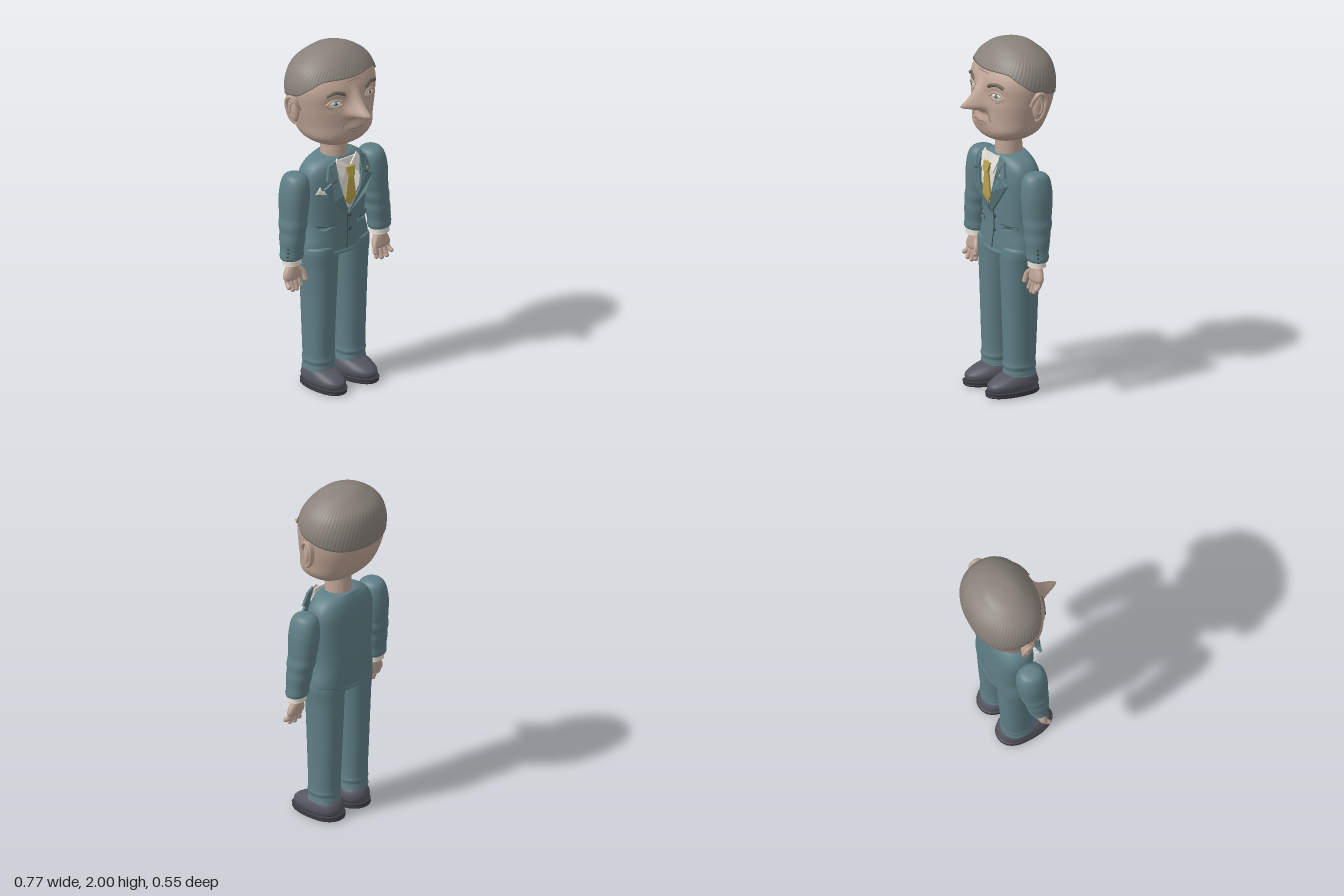
import * as THREE from 'three';

const mat = (color) => new THREE.MeshStandardMaterial({ color, side: THREE.DoubleSide });
const SUIT = mat(0x5f7f86), SKIN = mat(0xbfa596), HAIR = mat(0x89827a), SHOE = mat(0x555560), SOLE = mat(0x3a3a42),
  SHIRT = mat(0xe4e0d8), TIE = mat(0xb9a252), DARK = mat(0x3c4a4e), BROW = mat(0x6a6254), LINE = mat(0x8f7768), IRIS = mat(0x6d8a94);

// Cross-sections, top to bottom: [y, centre x, centre z, half width, front depth, back depth, squareness]
const HEAD = [
  [1.992, 0, -0.06, 0.001, 0.001, 0.001, 2], [1.982, 0, -0.06, 0.08, 0.065, 0.075, 2], [1.95, 0, -0.06, 0.155, 0.115, 0.125, 2],
  [1.89, 0, -0.06, 0.225, 0.165, 0.183, 2.1], [1.8, 0, -0.06, 0.258, 0.203, 0.203, 2.2], [1.7, 0, -0.06, 0.25, 0.203, 0.197, 2.3],
  [1.6, 0, -0.05, 0.228, 0.193, 0.178, 2.3], [1.52, 0, -0.03, 0.205, 0.17, 0.15, 2.4], [1.47, 0, -0.015, 0.145, 0.125, 0.11, 2.3],
  [1.45, 0, -0.015, 0.07, 0.07, 0.06, 2], [1.448, 0, -0.015, 0.001, 0.001, 0.001, 2]];
const TORSO = [
  [1.372, 0, -0.04, 0.001, 0.001, 0.001, 2], [1.366, 0, -0.045, 0.075, 0.07, 0.07, 2], [1.35, 0, -0.045, 0.14, 0.09, 0.085, 2.3],
  [1.31, 0, -0.045, 0.19, 0.103, 0.1, 2.6], [1.24, 0, -0.05, 0.212, 0.115, 0.108, 2.7], [1.1, 0, -0.05, 0.205, 0.118, 0.116, 2.6],
  [0.96, 0, -0.05, 0.197, 0.116, 0.118, 2.6], [0.86, 0, -0.045, 0.215, 0.116, 0.118, 2.6], [0.825, 0, -0.045, 0.205, 0.117, 0.117, 2.6],
  [0.795, 0, -0.045, 0.12, 0.115, 0.112, 2.8], [0.788, 0, -0.045, 0.001, 0.001, 0.001, 2]];

// Smoothly interpolated section at t in 0..1
function section(secs, t) {
  const n = secs.length - 1, f = Math.min(t, 1) * n, i = Math.min(Math.floor(f), n - 1), k = f - i;
  const at = (j) => secs[Math.max(0, Math.min(n, j))];
  return secs[0].map((_, c) => {
    const a = at(i - 1)[c], b = at(i)[c], d = at(i + 1)[c], e = at(i + 2)[c];
    const v = b + 0.5 * k * (d - a + k * (2 * a - 5 * b + 4 * d - e + k * (3 * (b - d) + e - a)));
    return c > 2 ? Math.max(v, 0.0005) : v;
  });
}

function ringPoint(secs, t, a) {
  const [y, cx, cz, rx, rf, rb, p] = section(secs, t), s = Math.sin(a), c = Math.cos(a);
  const pw = (v) => Math.sign(v) * Math.abs(v) ** (2 / p);
  return [cx + rx * pw(s), y, cz + (c > 0 ? rf : rb) * pw(c)];
}

// Closed surface from point(t, angle)
function surface(point, cols, rows) {
  const pos = [], idx = [];
  for (let j = 0; j <= rows; j++) for (let i = 0; i < cols; i++) {
    pos.push(...point(j / rows, (i / cols) * Math.PI * 2));
    if (j === rows) continue;
    const a = j * cols + i, b = j * cols + (i + 1) % cols;
    idx.push(a, a + cols, b + cols, a, b + cols, b);
  }
  const g = new THREE.BufferGeometry();
  g.setAttribute('position', new THREE.Float32BufferAttribute(pos, 3));
  g.setIndex(idx);
  g.computeVertexNormals();
  return g;
}

const loft = (secs, cols, rows) => surface((t, a) => ringPoint(secs, t, a), cols, rows);

// Front z of a lofted body at (x, y)
function frontZ(secs, x, y) {
  let lo = 0, hi = 1;
  for (let k = 0; k < 30; k++) { const m = (lo + hi) / 2; if (section(secs, m)[0] > y) lo = m; else hi = m; }
  const [, , cz, rx, rf, , p] = section(secs, lo);
  return cz + rf * Math.max(0, 1 - Math.abs(x / rx) ** p) ** (1 / p);
}

// How far the pointed nose, brow and lips stand out of the face
function relief(x, y) {
  const up = THREE.MathUtils.clamp((1.83 - y) / 0.16, 0, 1), low = THREE.MathUtils.smoothstep(y, 1.62, 1.665);
  const nose = 0.135 * up ** 1.7 * low * Math.exp(-((x / (0.02 + 0.022 * up)) ** 2));
  const lips = 0.012 * Math.exp(-((x / 0.06) ** 2) - ((y - 1.57) / 0.03) ** 2);
  const sockets = -0.012 * Math.exp(-(((Math.abs(x) - 0.12) / 0.05) ** 2) - ((y - 1.735) / 0.035) ** 2);
  return nose + lips + sockets;
}
const faceZ = (x, y) => frontZ(HEAD, x, y) + relief(x, y);
const torsoZ = (x, y) => frontZ(TORSO, x, y);
const chestZ = (x, y) => 0.112 - 0.9 * x * x - 1.2 * (y - 1.2) ** 2;

export function createModel() {
  const model = new THREE.Group();
  const add = (name, geo, m, x = 0, y = 0, z = 0) => {
    const mesh = new THREE.Mesh(geo, m);
    mesh.name = name;
    mesh.position.set(x, y, z);
    model.add(mesh);
    return mesh;
  };
  const ball = (name, m, p, sx, sy = sx, sz = sx) => {
    const b = add(name, new THREE.SphereGeometry(1, 18, 12), m, ...p);
    b.scale.set(sx, sy, sz);
    return b;
  };
  const tube = (name, m, pts, r) =>
    add(name, new THREE.TubeGeometry(new THREE.CatmullRomCurve3(pts.map((p) => new THREE.Vector3(...p))), 16, r, 8), m);
  // Line drawn over a surface z(x, y)
  const seam = (name, m, pts, r, zAt) => tube(name, m, pts.map(([x, y]) => [x, y, zAt(x, y)]), r);
  // Thin cloth piece bent to follow z(x, y)
  const cloth = (name, m, pts, zAt, offset, depth = 0.008) => {
    const g = new THREE.ExtrudeGeometry(new THREE.Shape(pts.map((p) => new THREE.Vector2(...p))), { depth, bevelEnabled: false });
    const p = g.attributes.position;
    for (let i = 0; i < p.count; i++) p.setZ(i, p.getZ(i) + zAt(p.getX(i), p.getY(i)) + offset);
    g.computeVertexNormals();
    return add(name, g, m);
  };

  // Head with nose
  add('head', surface((t, a) => {
    const [x, y, z] = ringPoint(HEAD, t, a);
    return [x, y, Math.cos(a) > 0 ? z + relief(x, y) : z];
  }, 112, 90), SKIN);

  // Hair cap with swirling combed grooves, folded in at the hairline
  const hairline = new THREE.SplineCurve([[0, 3.42], [0.7, 3.4], [1.1, 3.85], [1.5, 4.4], [2.2, 4.8], [3.1416, 5.05]].map((p) => new THREE.Vector2(...p)));
  const hairEnd = (a) => {
    const b = a > Math.PI ? 2 * Math.PI - a : a;
    let lo = 0, hi = 1;
    for (let k = 0; k < 20; k++) { const m = (lo + hi) / 2; if (hairline.getPoint(m).x < b) lo = m; else hi = m; }
    return hairline.getPoint(lo).y / 10;
  };
  add('hair', surface((t, a) => {
    const u = Math.min(t / 0.96, 1), [x, y, z] = ringPoint(HEAD, u * hairEnd(a), a);
    const groove = 0.016 * Math.min(1, u * 2) * (1 - Math.abs(Math.sin(32 * (a + 0.5 * u)))) ** 3;
    const s = t > 0.97 ? 0.97 : 1.035 - groove;
    return [x * s, y + 0.008, -0.06 + (z + 0.06) * s];
  }, 384, 32), HAIR);

  add('neck', new THREE.CylinderGeometry(0.072, 0.076, 0.16, 40), SKIN, 0, 1.41, -0.035);
  add('jacket', loft(TORSO, 56, 60), SUIT);

  // Mouth, brow crease
  seam('mouthLine', LINE, [[-0.06, 1.565], [-0.025, 1.572], [0, 1.568], [0.025, 1.572], [0.06, 1.565]], 0.004, faceZ);
  seam('lowerLip', LINE, [[-0.035, 1.553], [0, 1.549], [0.035, 1.553]], 0.003, faceZ);
  seam('browCrease', LINE, [[-0.05, 1.845], [0, 1.848], [0.05, 1.845]], 0.002, faceZ);

  // Shirt front, tie and jacket opening
  cloth('shirtFront', SHIRT, [[-0.085, 1.355], [0.085, 1.355], [0.08, 1.2], [0.01, 1.06], [-0.01, 1.06], [-0.08, 1.2]], chestZ, -0.02);
  cloth('tie', TIE, [[-0.018, 1.27], [0.018, 1.27], [0.038, 1.13], [0, 1.085], [-0.038, 1.13]], chestZ, -0.006, 0.01);
  cloth('tieKnot', TIE, [[-0.032, 1.32], [0.032, 1.32], [0.018, 1.265], [-0.018, 1.265]], chestZ, -0.004, 0.016);
  seam('jacketOpening', DARK, [[0.008, 1.05], [0.012, 0.95], [0.005, 0.87], [0, 0.82]], 0.003, torsoZ);
  for (const y of [1.01, 0.93]) ball('jacketButton', DARK, [0.024, y, torsoZ(0.02, y) + 0.004], 0.011, 0.011, 0.007);
  cloth('pocketSquare', SHIRT, [[-0.19, 1.18], [-0.14, 1.175], [-0.145, 1.2], [-0.16, 1.195], [-0.172, 1.225], [-0.18, 1.2]], torsoZ, 0.012);
  cloth('breastPocket', SUIT, [[-0.19, 1.165], [-0.135, 1.16], [-0.135, 1.178], [-0.19, 1.183]], torsoZ, 0.014);
  ball('lapelPin', TIE, [0.125, 1.275, chestZ(0.125, 1.275) + 0.01], 0.008, 0.008, 0.005);

  for (const s of [1, -1]) {
    const mir = (pts) => pts.map(([x, ...r]) => [x * s, ...r]);
    const side = s > 0 ? 'left' : 'right';
    const limb = (part, secs, m, cols, rows) => add(side + part, loft(secs.map(([y, x, ...r]) => [y, x * s, ...r]), cols, rows), m);

    // Eye, lids, brow and cheek fold
    const ez = faceZ(0.122, 1.735);
    const eye = ball(side + 'Eye', SHIRT, [0.122 * s, 1.735, ez - 0.002], 0.04, 0.015, 0.012);
    eye.rotation.y = 0.4 * s;
    ball(side + 'Iris', IRIS, [0.12 * s, 1.735, ez + 0.007], 0.013, 0.013, 0.006);
    ball(side + 'Pupil', DARK, [0.12 * s, 1.735, ez + 0.011], 0.006, 0.006, 0.004);
    seam(side + 'UpperLid', SKIN, mir([[0.075, 1.732], [0.1, 1.752], [0.14, 1.752], [0.172, 1.73]]), 0.008, faceZ);
    seam(side + 'LowerLid', SKIN, mir([[0.075, 1.73], [0.1, 1.717], [0.14, 1.715], [0.172, 1.73]]), 0.006, faceZ);
    seam(side + 'EyeBag', LINE, mir([[0.085, 1.71], [0.12, 1.698], [0.165, 1.71]]), 0.002, faceZ);
    seam(side + 'Eyebrow', BROW, mir([[0.07, 1.782], [0.1, 1.796], [0.135, 1.8], [0.172, 1.785]]), 0.01, faceZ);
    seam(side + 'CheekFold', LINE, mir([[0.055, 1.635], [0.075, 1.61], [0.085, 1.575]]), 0.003, faceZ);

    // Ear with rim and inner fold
    ball(side + 'Ear', SKIN, [0.262 * s, 1.685, -0.058], 0.024, 0.08, 0.034);
    tube(side + 'EarRim', SKIN, mir([[0.255, 1.69, -0.02], [0.282, 1.745, -0.03], [0.29, 1.768, -0.06], [0.292, 1.735, -0.092],
      [0.286, 1.68, -0.09], [0.274, 1.625, -0.07], [0.262, 1.605, -0.045]]), 0.011);
    tube(side + 'EarFold', SKIN, mir([[0.28, 1.735, -0.058], [0.288, 1.7, -0.07], [0.282, 1.655, -0.062], [0.272, 1.65, -0.04]]), 0.008);

    // Shirt collar and notched lapel
    cloth(side + 'Collar', SHIRT, mir([[0.008, 1.325], [0.07, 1.375], [0.085, 1.35], [0.06, 1.27]]), chestZ, -0.004);
    cloth(side + 'Lapel', SUIT, mir([[0.085, 1.365], [0.13, 1.345], [0.155, 1.265], [0.128, 1.25], [0.172, 1.22], [0.11, 1.13],
      [0.008, 1.03], [0.01, 1.065], [0.06, 1.17], [0.085, 1.27]]), chestZ, -0.008, 0.014);
    seam(side + 'LapelNotch', DARK, mir([[0.09, 1.262], [0.11, 1.256], [0.13, 1.25]]), 0.003, (x, y) => chestZ(x, y) + 0.006);
    cloth(side + 'PocketFlap', SUIT, mir([[0.085, 0.955], [0.135, 0.952], [0.18, 0.958], [0.18, 0.978], [0.135, 0.974], [0.085, 0.976]]), torsoZ, 0.002, 0.008);
    seam(side + 'PocketSeam', DARK, mir([[0.085, 0.978], [0.135, 0.976], [0.18, 0.98]]), 0.003, (x, y) => torsoZ(x, y) + 0.008);

    // Sleeve with soft folds, cuff and buttons
    limb('Sleeve', [
      [1.312, 0.272, -0.04, 0.001, 0.001, 0.001, 2], [1.305, 0.274, -0.04, 0.045, 0.05, 0.05, 2], [1.27, 0.274, -0.04, 0.068, 0.078, 0.076, 2.2],
      [1.19, 0.28, -0.04, 0.08, 0.088, 0.084, 2.2], [1.1, 0.286, -0.038, 0.077, 0.084, 0.08, 2.2], [1.06, 0.291, -0.036, 0.073, 0.08, 0.076, 2.2],
      [1.02, 0.296, -0.034, 0.076, 0.08, 0.076, 2.2], [0.98, 0.302, -0.03, 0.069, 0.073, 0.068, 2.2], [0.94, 0.306, -0.027, 0.071, 0.07, 0.066, 2.2],
      [0.88, 0.312, -0.023, 0.065, 0.06, 0.058, 2.2], [0.825, 0.316, -0.02, 0.063, 0.052, 0.052, 2.2], [0.82, 0.316, -0.02, 0.001, 0.001, 0.001, 2]], SUIT, 36, 55);
    limb('Cuff', [[0.84, 0.316, -0.018, 0.052, 0.046, 0.046, 2.1], [0.8, 0.316, -0.017, 0.055, 0.047, 0.047, 2.1],
      [0.792, 0.316, -0.017, 0.052, 0.044, 0.044, 2.1], [0.792, 0.316, -0.017, 0.001, 0.001, 0.001, 2]], SHIRT, 32, 12);
    for (let i = 0; i < 3; i++) ball(side + 'SleeveButton', DARK, [(0.368 - i * 0.002) * s, 0.855 + i * 0.022, 0.008], 0.008);

    // Hand
    limb('Palm', [[0.81, 0.315, -0.018, 0.032, 0.025, 0.025, 2], [0.785, 0.315, -0.018, 0.038, 0.027, 0.027, 2],
      [0.745, 0.317, -0.014, 0.058, 0.028, 0.026, 2.2], [0.71, 0.32, -0.01, 0.056, 0.024, 0.022, 2.3], [0.695, 0.32, -0.008, 0.001, 0.001, 0.001, 2]], SKIN, 32, 20);
    [[0.278, 0.648], [0.307, 0.636], [0.336, 0.64], [0.362, 0.662]].forEach(([x, y], i) => {
      const end = [(x + (x - 0.32) * 0.15) * s, y + 0.012, 0.006 + 0.004 * i];
      tube(side + 'Finger', SKIN, [[x * s, 0.725, -0.012], [x * s, 0.69, -0.002], end], 0.0135);
      ball(side + 'Fingertip', SKIN, end, 0.0135);
    });
    tube(side + 'Thumb', SKIN, mir([[0.282, 0.765, -0.005], [0.258, 0.735, 0.01], [0.253, 0.695, 0.02]]), 0.015);
    ball(side + 'ThumbTip', SKIN, [0.253 * s, 0.695, 0.02], 0.015);

    // Trouser leg with break above the shoe
    limb('TrouserLeg', [
      [0.862, 0.115, -0.036, 0.001, 0.001, 0.001, 2], [0.855, 0.115, -0.036, 0.085, 0.09, 0.09, 2.2], [0.82, 0.113, -0.036, 0.106, 0.106, 0.106, 2.3],
      [0.72, 0.109, -0.036, 0.1, 0.105, 0.105, 2.3], [0.55, 0.109, -0.036, 0.092, 0.1, 0.1, 2.3], [0.35, 0.11, -0.036, 0.085, 0.094, 0.092, 2.3],
      [0.2, 0.11, -0.035, 0.082, 0.088, 0.086, 2.3], [0.165, 0.11, -0.035, 0.086, 0.092, 0.088, 2.3], [0.145, 0.11, -0.035, 0.081, 0.088, 0.085, 2.3],
      [0.12, 0.11, -0.035, 0.085, 0.09, 0.088, 2.3], [0.11, 0.11, -0.035, 0.08, 0.08, 0.08, 2.3], [0.11, 0.11, -0.035, 0.001, 0.001, 0.001, 2]], SUIT, 40, 55);

    // Shoe and sole, toes turned slightly out
    const upper = loft([[0.125, 0, -0.03, 0.001, 0.001, 0.001, 2], [0.122, 0, -0.03, 0.06, 0.07, 0.07, 2], [0.105, 0, -0.03, 0.08, 0.13, 0.1, 2.1],
      [0.075, 0, -0.03, 0.09, 0.185, 0.113, 2.2], [0.05, 0, -0.03, 0.09, 0.195, 0.113, 2.2], [0.03, 0, -0.03, 0.08, 0.185, 0.105, 2.2]], 40, 25);
    const sole = loft([[0.034, 0, -0.03, 0.001, 0.001, 0.001, 2], [0.034, 0, -0.03, 0.085, 0.19, 0.108, 2.2], [0.022, 0, -0.03, 0.093, 0.202, 0.117, 2.2],
      [0.003, 0, -0.03, 0.085, 0.185, 0.11, 2.2], [0, 0, -0.03, 0.001, 0.001, 0.001, 2]], 40, 16);
    for (const [name, geo, m] of [['Shoe', upper, SHOE], ['Sole', sole, SOLE]]) add(side + name, geo, m, 0.107 * s).rotation.y = 0.07 * s;
  }
  return model;
}
